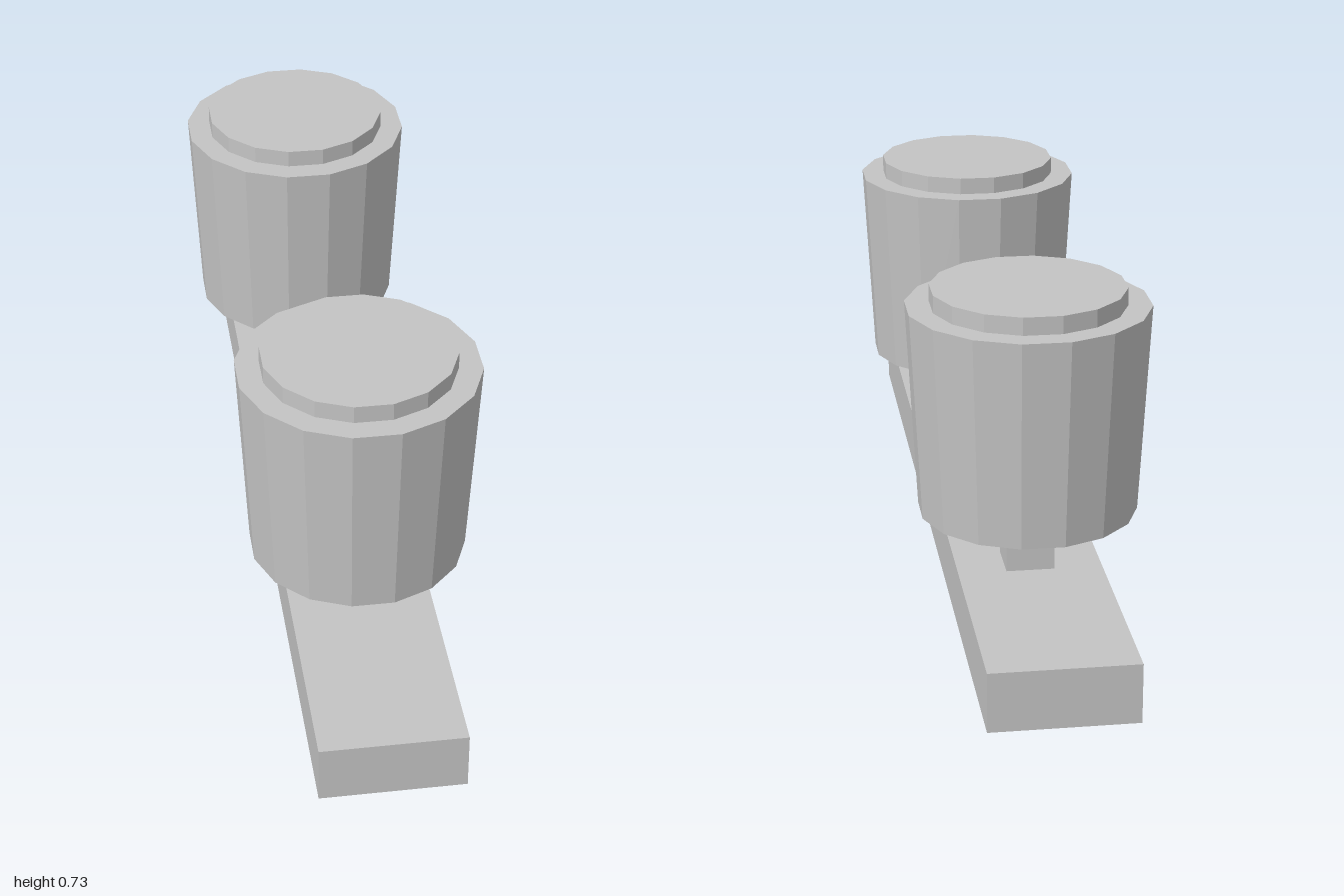
import * as THREE from 'three';

const grey = new THREE.MeshStandardMaterial({ color: 0xc4c4c4, flatShading: true });
grey.name = 'grey';

function part(parent, name, geometry, bottom, height) {
  const mesh = new THREE.Mesh(geometry, grey);
  mesh.name = name;
  mesh.position.y = bottom + height / 2;
  parent.add(mesh);
}

// 16-sided drum with a flat facet facing +z
function drum(top, bottom, height) {
  return new THREE.CylinderGeometry(top, bottom, height, 16).rotateY(Math.PI / 16);
}

// Square post carrying a tapered cup with a thin lid
function createLamp(name, z) {
  const lamp = new THREE.Group();
  lamp.name = name;
  part(lamp, 'post', new THREE.BoxGeometry(0.1, 0.125, 0.1), 0.125, 0.125);
  part(lamp, 'cup', drum(0.25, 0.226, 0.438), 0.25, 0.438);
  part(lamp, 'lid', drum(0.2, 0.2, 0.037), 0.688, 0.037);
  lamp.position.z = z;
  return lamp;
}

export function createModel() {
  const model = new THREE.Group();
  model.name = 'twinCupsOnBar';
  part(model, 'baseBar', new THREE.BoxGeometry(0.3, 0.125, 2), 0, 0.125);
  model.add(createLamp('frontLamp', 0.5), createLamp('backLamp', -0.5));
  return model;
}
